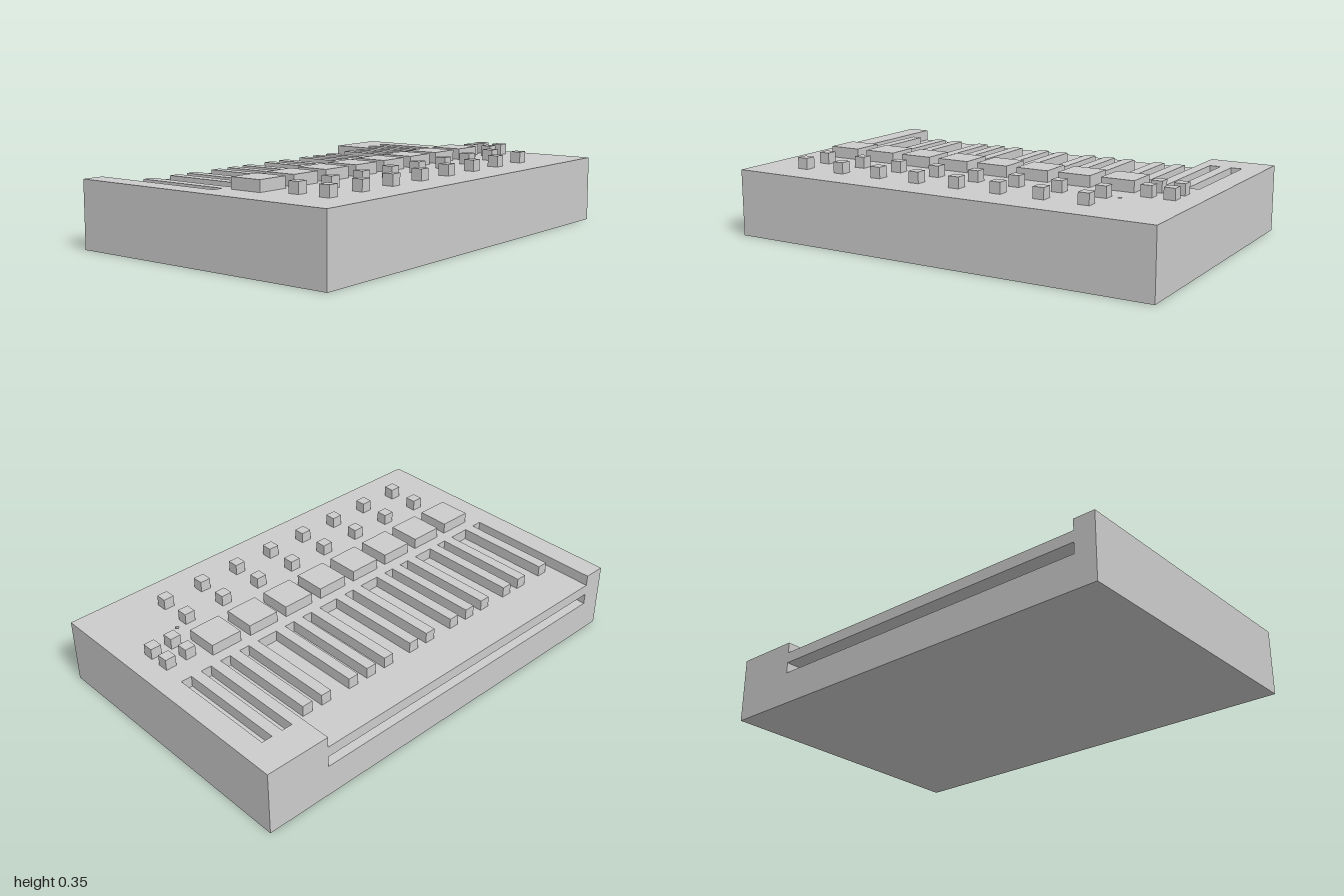
import * as THREE from 'three';

const mat = new THREE.MeshStandardMaterial({ color: 0xcccccc, flatShading: true });

// Closed outline from [x, z] points
const trace = (points, Type = THREE.Shape) =>
  new Type(points.map(([x, z]) => new THREE.Vector2(x, -z)));

const rect = (x0, z0, x1, z1) => [[x0, z1], [x1, z1], [x1, z0], [x0, z0]];

export function createModel() {
  const model = new THREE.Group();

  // Horizontal slab of the given plan between two heights
  function slab(name, shape, y0, y1) {
    const geo = new THREE.ExtrudeGeometry(shape, { depth: y1 - y0, bevelEnabled: false });
    geo.rotateX(-Math.PI / 2);
    const mesh = new THREE.Mesh(geo, mat);
    mesh.name = name;
    mesh.position.y = y0;
    model.add(mesh);
  }

  // Small block standing on the top panel
  function block(name, x, z, size) {
    const mesh = new THREE.Mesh(new THREE.BoxGeometry(size, 0.05, size), mat);
    mesh.name = name;
    mesh.position.set(x, 0.325, z);
    model.add(mesh);
  }

  // Case bottom, then a layer with the slot under the keys, then the white key bed
  slab('caseBottom', trace(rect(-1, -0.65, 1, 0.65)), 0, 0.15);
  slab('slotLayer', trace([
    [-1, 0.65], [1, 0.65], [1, -0.65], [0.7, -0.65],
    [0.7, 0], [-0.9, 0], [-0.9, -0.65], [-1, -0.65],
  ]), 0.15, 0.2);
  slab('whiteKeyBed', trace(rect(-1, -0.65, 1, 0.65)), 0.2, 0.25);

  // Top panel: the key recess is cut from the back, the black keys are teeth reaching into it
  const outline = [[-1, 0.65], [1, 0.65], [1, -0.65], [0.7, -0.65], [0.7, 0]];
  const blackKeys = [0.6, 0.5, 0.35, 0.25, 0.15, 0, -0.1, -0.25, -0.35, -0.45, -0.6, -0.7, -0.85];
  for (const x of blackKeys) {
    outline.push([x + 0.05, 0], [x + 0.05, -0.45], [x, -0.45], [x, 0]);
  }
  outline.push([-0.9, 0], [-0.9, -0.65], [-1, -0.65]);
  const panel = trace(outline);
  // Two wheel slots and a tiny indicator hole
  for (const x of [0.75, 0.85]) {
    panel.holes.push(trace(rect(x, -0.5, x + 0.05, 0), THREE.Path));
  }
  panel.holes.push(trace(
    [[0.68, 0.31], [0.69, 0.32], [0.7, 0.31], [0.69, 0.3]], THREE.Path));
  slab('topPanelWithBlackKeys', panel, 0.25, 0.3);

  // Eight columns: one pad and two knobs each
  for (let i = 0; i < 8; i++) {
    const x = -0.775 + i * 0.2;
    block('pad', x, 0.125, 0.15);
    block('knob', x, 0.325, 0.05);
    block('knob', x, 0.475, 0.05);
  }

  // Four buttons in front of the wheel slots
  for (const x of [0.775, 0.875]) {
    for (const z of [0.125, 0.225]) block('button', x, z, 0.05);
  }
  return model;
}
